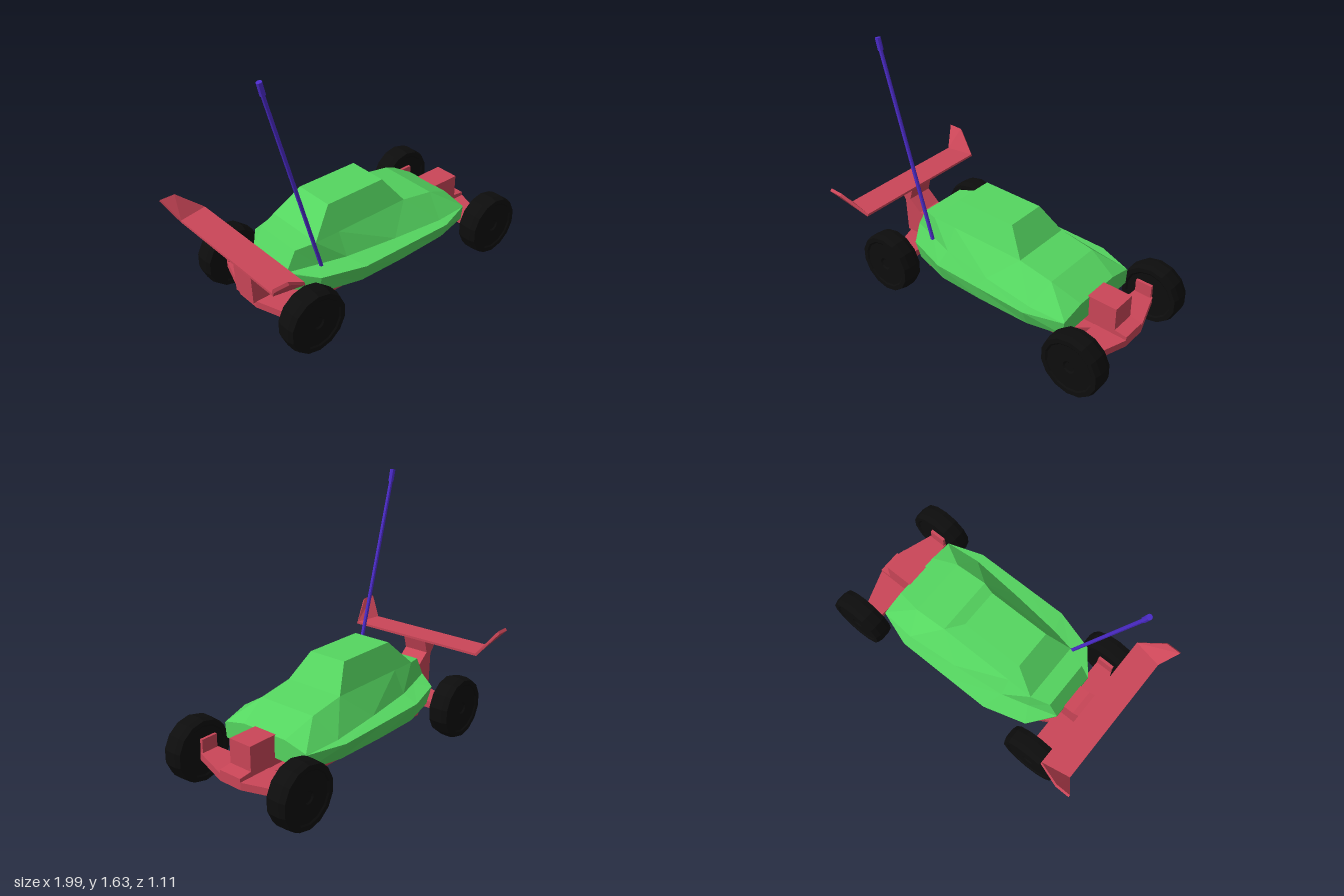
import * as THREE from 'three';

const paint = (color) => new THREE.MeshStandardMaterial({ color, flatShading: true });
const GREEN = paint(0x55d660), RED = paint(0xcb4658), BLACK = paint(0x0d0d0d), PURPLE = paint(0x4c2bcb);

// Joins rings of points (clockwise seen from the end of the run) and caps both ends
function loft(rings) {
  const pos = [];
  const tri = (...p) => p.forEach((v) => pos.push(...v));
  const n = rings[0].length;
  for (let j = 0; j < rings.length - 1; j++) {
    for (let i = 0; i < n; i++) {
      const k = (i + 1) % n;
      const a = rings[j][i], b = rings[j + 1][i], c = rings[j + 1][k], d = rings[j][k];
      // mirrored halves get mirrored diagonals
      if (i < n / 2) { tri(a, b, d); tri(b, c, d); } else { tri(a, b, c); tri(a, c, d); }
    }
  }
  const cap = (r) => {
    for (let i = 0; i < n / 2 - 1; i++) {
      tri(r[i], r[i + 1], r[n - 2 - i]);
      tri(r[i], r[n - 2 - i], r[n - 1 - i]);
    }
  };
  cap(rings[0]);
  cap([...rings[rings.length - 1]].reverse());
  const g = new THREE.BufferGeometry();
  g.setAttribute('position', new THREE.Float32BufferAttribute(pos, 3));
  g.computeVertexNormals();
  return g;
}

// Flat plate from half an outline in (x, z), mirrored over z
function plate(half, y0, y1) {
  const outline = [...half, ...half.map(([x, z]) => [x, -z]).reverse()];
  const shape = new THREE.Shape(outline.map(([x, z]) => new THREE.Vector2(x, z)));
  const g = new THREE.ExtrudeGeometry(shape, { depth: y1 - y0, bevelEnabled: false });
  return g.rotateX(-Math.PI / 2).translate(0, y0, 0);
}

// Side profile in (x, y), extruded across z
function sideBlock(profile, width) {
  const shape = new THREE.Shape(profile.map(([x, y]) => new THREE.Vector2(x, y)));
  return new THREE.ExtrudeGeometry(shape, { depth: width, bevelEnabled: false }).translate(0, 0, -width / 2);
}

function rod(from, to, radius, sides) {
  const a = new THREE.Vector3(...from), b = new THREE.Vector3(...to);
  const dir = b.clone().sub(a);
  const g = new THREE.CylinderGeometry(radius, radius, dir.length(), sides);
  g.applyQuaternion(new THREE.Quaternion().setFromUnitVectors(new THREE.Vector3(0, 1, 0), dir.normalize()));
  return g.translate(...a.add(b).multiplyScalar(0.5).toArray());
}

export function createModel() {
  const car = new THREE.Group();
  car.name = 'buggy';
  const add = (name, geometry, material) => {
    const mesh = new THREE.Mesh(geometry, material);
    mesh.name = name;
    car.add(mesh);
    return mesh;
  };

  // Body shell: lines run from tail to nose
  const lines = [
    // lower edge
    [[-0.61, 0.235, 0.15], [-0.5, 0.235, 0.29], [-0.24, 0.235, 0.36], [0.07, 0.24, 0.37], [0.42, 0.24, 0.36], [0.655, 0.245, 0.31]],
    // rim
    [[-0.635, 0.36, 0.16], [-0.51, 0.36, 0.32], [-0.24, 0.355, 0.4], [0.07, 0.35, 0.4], [0.42, 0.345, 0.4], [0.655, 0.34, 0.32]],
    // crease
    [[-0.633, 0.368, 0.16], [-0.45, 0.372, 0.22], [-0.28, 0.372, 0.27], [0.07, 0.36, 0.31], [0.42, 0.35, 0.34], [0.655, 0.345, 0.315]],
    // belt
    [[-0.57, 0.49, 0.16], [-0.45, 0.51, 0.2], [-0.28, 0.51, 0.2], [0.24, 0.51, 0.2], [0.47, 0.47, 0.2], [0.655, 0.38, 0.16]],
  ];
  const bodyRings = lines[0].map((_, j) => {
    const half = lines.map((line) => line[j]);
    return [...half, ...half.map(([x, y, z]) => [x, y, -z]).reverse()];
  });
  add('bodyShell', loft(bodyRings), GREEN);

  // Cabin
  const level = (x0, x1, y, z) => [[x0, y, -z], [x1, y, -z], [x1, y, z], [x0, y, z]];
  add('cabin', loft([level(-0.45, 0.24, 0.51, 0.2), level(-0.3, 0.12, 0.67, 0.13)]), GREEN);

  // Chassis floor and axle arms
  add('chassisFloor', plate([[-0.7, 0.12], [-0.47, 0.25], [0.54, 0.25], [0.72, 0.1]], 0.155, 0.2), RED);
  add('frontArms', plate([[0.7, 0.08], [0.71, 0.345], [0.83, 0.345], [0.92, 0.08]], 0.157, 0.203), RED);
  add('rearArms', plate([[-0.8, 0.08], [-0.71, 0.345], [-0.6, 0.345], [-0.6, 0.08]], 0.157, 0.203), RED);

  // Nose gearbox and rear wing pylon
  add('noseBox', sideBlock([[0.6, 0.2], [0.92, 0.2], [0.92, 0.225], [0.84, 0.235], [0.84, 0.385], [0.6, 0.385]], 0.16), RED);
  add('wingPylon', sideBlock([[-0.6, 0.2], [-0.6, 0.37], [-0.7, 0.38], [-0.785, 0.45], [-0.76, 0.54],
    [-0.92, 0.54], [-0.83, 0.43], [-0.82, 0.2]], 0.17), RED);

  // Rear wing with raised tips: [z, height, rear x, front x]
  const wingRing = (side, dz, z, y, x0, x1) => [
    [x0, y, side * (z - dz)], [x1, y, side * (z - dz + (x1 > -0.8 ? 0.035 : 0))],
    [x1, y - 0.015, side * (z + (x1 > -0.8 ? 0.035 : 0))], [x0, y - 0.015, side * z],
  ];
  const half = [[0.012, 0.555, 0.67, -1, -0.905], [0.008, 0.45, 0.55, -0.935, -0.75]];
  add('rearWing', loft([
    ...half.map((s) => wingRing(-1, ...s)),
    ...[...half].reverse().map((s) => wingRing(1, ...s)),
  ]), RED);

  // Wheels with a slightly crowned tread and shallow hub dish, plus hub plates
  const wheelProfile = [[0, -0.05], [0.03, -0.05], [0.04, -0.058], [0.15, -0.058], [0.16, -0.065], [0.188, -0.065],
    [0.198, -0.03], [0.198, 0.03], [0.188, 0.065], [0.16, 0.065], [0.15, 0.058], [0.04, 0.058], [0.03, 0.05], [0, 0.05]];
  const wheelGeometry = new THREE.LatheGeometry(wheelProfile.map(([r, h]) => new THREE.Vector2(r, h)), 14).rotateX(Math.PI / 2);
  for (const [end, x] of [['front', 0.798], ['rear', -0.65]]) {
    for (const [side, s] of [['Left', 1], ['Right', -1]]) {
      add(`${end}${side}Wheel`, wheelGeometry, BLACK).position.set(x, 0.203, s * 0.405);
      add(`${end}${side}HubPlate`, new THREE.BoxGeometry(0.11, 0.13, 0.02), RED)
        .position.set(x > 0 ? 0.77 : -0.655, 0.222, s * 0.338);
    }
  }

  // Whip antenna
  add('antenna', rod([-0.44, 0.36, 0.235], [-0.785, 1.57, 0.235], 0.012, 8), PURPLE);
  add('antennaTip', rod([-0.78, 1.555, 0.235], [-0.798, 1.63, 0.235], 0.017, 8), PURPLE);

  return car;
}
